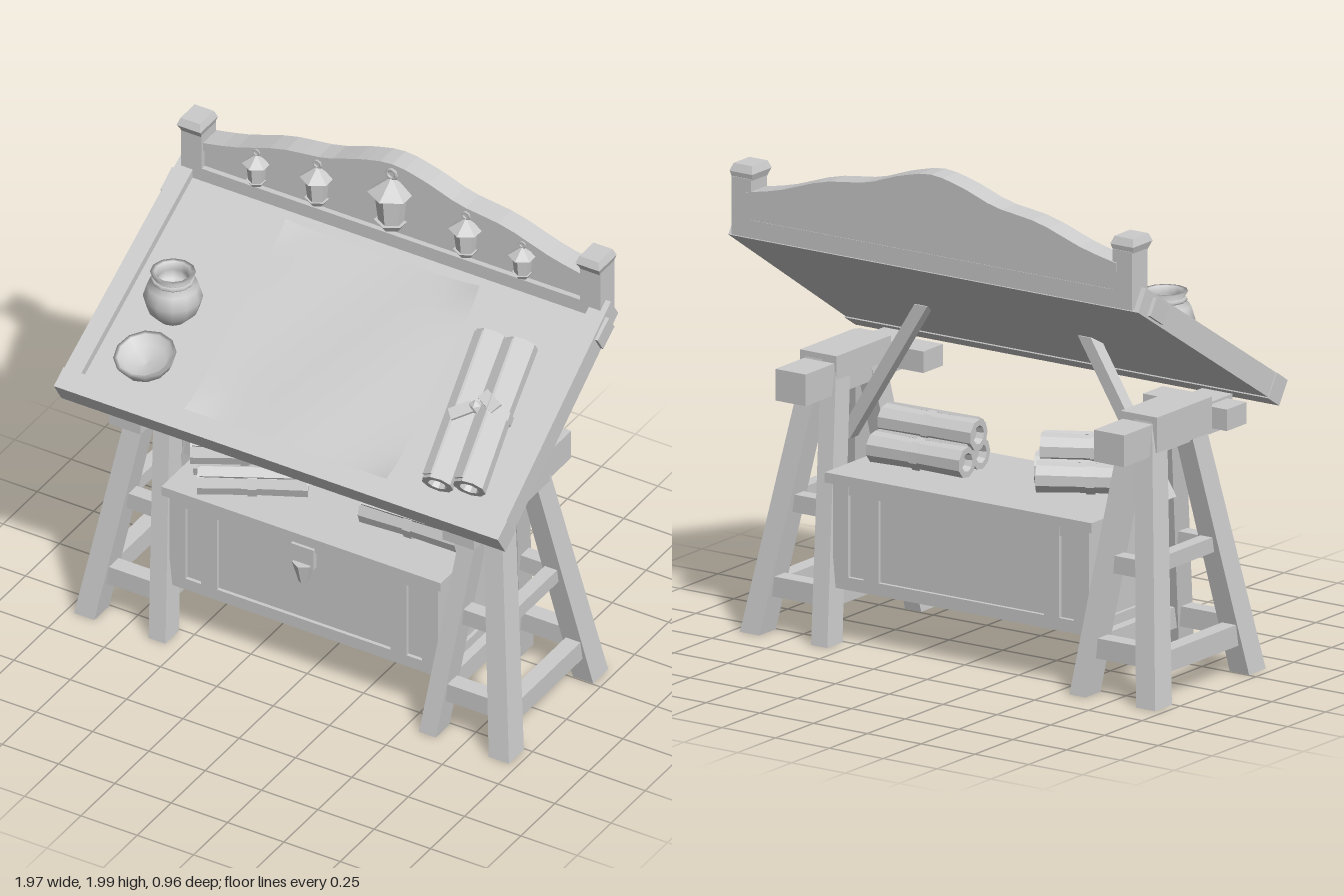
import * as THREE from 'three';

const grey = new THREE.MeshStandardMaterial({ color: 0xcccccc, side: THREE.DoubleSide });
grey.name = 'plain grey';

function add(parent, name, geo, x = 0, y = 0, z = 0) {
  const m = new THREE.Mesh(geo, grey);
  m.name = name;
  m.position.set(x, y, z);
  parent.add(m);
  return m;
}
const flat = (g) => { const n = g.toNonIndexed(); n.computeVertexNormals(); return n; };

// box given by its extents
function block(parent, name, x0, x1, y0, y1, z0, z1) {
  return add(parent, name, new THREE.BoxGeometry(x1 - x0, y1 - y0, z1 - z0),
    (x0 + x1) / 2, (y0 + y1) / 2, (z0 + z1) / 2);
}

// leaning post with level ends, from point a (low) to point b (high)
function post(parent, name, a, b, w, d, taper = 1) {
  const g = new THREE.BoxGeometry(w, 1, d), p = g.attributes.position;
  for (let i = 0; i < p.count; i++) {
    const e = p.getY(i) > 0 ? b : a, s = p.getY(i) > 0 ? taper : 1;
    p.setXYZ(i, e[0] + p.getX(i) * s, e[1], e[2] + p.getZ(i) * s);
  }
  return add(parent, name, flat(g));
}

// rolled paper along local x: eight-sided, hollow ends, loose outer edge, ribbon
function scroll(parent, len, r) {
  const s = new THREE.Group();
  s.name = 'scroll';
  parent.add(s);
  const pts = [[r * 0.5, -len / 2 + 0.03], [r * 0.6, -len / 2], [r, -len / 2], [r * 0.93, 0],
    [r, len / 2], [r * 0.6, len / 2], [r * 0.5, len / 2 - 0.03]].map(([a, b]) => new THREE.Vector2(a, b));
  add(s, 'rolledPaper', flat(new THREE.LatheGeometry(pts, 9).rotateZ(Math.PI / 2)));
  for (const e of [-1, 1])
    add(s, 'rollCore', new THREE.CircleGeometry(r * 0.5, 9).rotateY(Math.PI / 2), e * (len / 2 - 0.03));
  const edge = add(s, 'looseEdge', new THREE.BoxGeometry(len * 0.96, 0.012, r * 0.7), 0, r * 0.85, r * 0.45);
  edge.rotation.x = 0.5;
  add(s, 'ribbon', flat(new THREE.CylinderGeometry(r * 1.04, r * 1.04, 0.035, 9, 1, true).rotateZ(Math.PI / 2)));
  return s;
}

// three scrolls stacked in a pyramid, axis along local x
function scrollPile(parent, name, x, z, turn, len) {
  const g = new THREE.Group();
  g.name = name;
  g.position.set(x, 0.68, z);
  g.rotation.y = turn;
  parent.add(g);
  for (const [dx, y, dz] of [[0.01, 0.06, 0.065], [-0.01, 0.06, -0.065], [-0.02, 0.155, 0]])
    scroll(g, len, 0.062).position.set(dx, y, dz);
}

// small hanging lantern on the crest board
function lantern(parent, x, y, k) {
  const g = new THREE.Group();
  g.name = 'lantern';
  g.position.set(x, y, -0.372);
  g.scale.setScalar(k);
  parent.add(g);
  add(g, 'lanternBody', flat(new THREE.CylinderGeometry(0.045, 0.035, 0.09, 6)));
  add(g, 'lanternRoof', flat(new THREE.ConeGeometry(0.062, 0.045, 6)), 0, 0.065);
  add(g, 'lanternBase', flat(new THREE.CylinderGeometry(0.045, 0.03, 0.02, 6)), 0, -0.053);
  add(g, 'lanternRing', new THREE.TorusGeometry(0.014, 0.005, 5, 8), 0, 0.097);
}

function buildBoard(root) {
  const b = new THREE.Group();
  b.name = 'slopedBoard';
  b.position.set(0, 1.325, -0.02);
  b.rotation.x = 0.564;
  root.add(b);
  block(b, 'boardPanel', -0.93, 0.93, 0, 0.068, -0.52, 0.5);
  block(b, 'frontRail', -0.985, 0.985, -0.005, 0.1, 0.445, 0.53);
  for (const s of [-1, 1]) {
    // side rail, a little wider toward the front
    const rail = post(b, 'sideRail', [s * 0.945, 0, 0], [s * 0.915, 1.02, 0], 0.075, 0.1);
    rail.rotation.x = -Math.PI / 2;
    rail.position.set(0, 0.05, 0.5);
    block(b, 'railBracket', Math.min(s * 0.9, s * 0.97), Math.max(s * 0.9, s * 0.97), 0.01, 0.085, -0.46, -0.36);
  }
  // drawing sheet with curling corners
  const sheet = new THREE.PlaneGeometry(0.88, 0.85, 12, 12).rotateX(-Math.PI / 2), p = sheet.attributes.position;
  for (let i = 0; i < p.count; i++) {
    const x = p.getX(i), z = p.getZ(i), c = Math.abs(x / 0.44) * Math.abs(z / 0.425);
    p.setXYZ(i, x * (1 + 0.05 * z), 0.075 + 0.03 * c ** 6 + 0.004 * Math.sin(9 * x + 5 * z), z);
  }
  sheet.computeVertexNormals();
  add(b, 'paperSheet', sheet, 0, 0, 0.02);
  // pair of tied scrolls
  const pair = new THREE.Group();
  pair.name = 'boardScrolls';
  pair.position.set(0.69, 0.133, 0.085);
  pair.rotation.y = -Math.PI / 2 + 0.13;
  b.add(pair);
  scroll(pair, 0.62, 0.066).position.z = -0.065;
  scroll(pair, 0.64, 0.064).position.z = 0.065;
  add(pair, 'ribbonKnot', flat(new THREE.IcosahedronGeometry(0.03, 0)), 0, 0.055, 0);
  for (const s of [-1, 1])
    add(pair, 'ribbonTail', new THREE.BoxGeometry(0.05, 0.012, 0.09), s * 0.03, 0.065, s * 0.05).rotation.y = s * 0.6;
}

function buildCrest(root) {
  const c = new THREE.Group();
  c.name = 'crest';
  root.add(c);
  const half = [[0.86, 1.785], [0.7, 1.82], [0.5, 1.885], [0.3, 1.915], [0.15, 1.965], [0, 1.995]];
  const pts = [...half, ...half.slice(0, -1).reverse().map(([x, y]) => [-x, y])].map(([x, y]) => new THREE.Vector2(x, y));
  const line = new THREE.SplineCurve(pts).getPoints(28);
  const slab = (pl, d) => new THREE.ExtrudeGeometry(new THREE.Shape(pl), { depth: d, bevelEnabled: false });
  const V = (x, y) => new THREE.Vector2(x, y);
  add(c, 'backBoard', slab([V(-0.88, 1.61), V(0.88, 1.61), ...line], 0.08), 0, 0, -0.468);
  const under = line.map((q) => V(q.x, q.y - 0.035)).reverse();
  add(c, 'crestMoulding', slab([...line, ...under], 0.1), 0, 0.003, -0.476);
  block(c, 'backSill', -0.93, 0.93, 1.61, 1.68, -0.47, -0.365);
  for (const s of [-1, 1]) {
    block(c, 'cornerPost', s * 0.885 - 0.045, s * 0.885 + 0.045, 1.61, 1.84, -0.47, -0.365);
    post(c, 'postFlare', [s * 0.885, 1.825, -0.415], [s * 0.885, 1.86, -0.408], 0.085, 0.1, 1.25);
    post(c, 'postCap', [s * 0.885, 1.86, -0.408], [s * 0.885, 1.89, -0.408], 0.106, 0.13, 0.8);
  }
  for (const [x, y, k] of [[-0.6, 1.75, 0.9], [-0.33, 1.775, 1.1], [0, 1.81, 1.5], [0.33, 1.775, 1.1], [0.58, 1.75, 0.9]])
    lantern(c, x, y, k);
}

function buildTrestle(root, s) {
  const t = new THREE.Group();
  t.name = s > 0 ? 'leftTrestle' : 'rightTrestle';
  root.add(t);
  const bx = (name, x0, x1, ...r) => block(t, name, Math.min(s * x0, s * x1), Math.max(s * x0, s * x1), ...r);
  for (const f of [-1, 1]) {
    post(t, 'outerLeg', [s * 0.92, 0.01, f * 0.31], [s * 0.765, 1.08, f * 0.11], 0.09, 0.11, 0.9);
    post(t, 'innerLeg', [s * 0.6, 0.01, f * 0.31], [s * 0.7, 1.05, f * 0.11], 0.075, 0.1, 0.95);
    bx('lowerStretcher', 0.62, 0.9, 0.155, 0.235, f * 0.275 - 0.035, f * 0.275 + 0.035);
    bx('upperStretcher', 0.65, 0.84, 0.48, 0.55, f * 0.21 - 0.03, f * 0.21 + 0.03);
  }
  bx('lowerSideRail', 0.865, 0.93, 0.125, 0.21, -0.28, 0.28);
  bx('innerSideRail', 0.585, 0.645, 0.15, 0.235, -0.28, 0.28);
  bx('upperSideRail', 0.81, 0.865, 0.5, 0.56, -0.21, 0.21);
  bx('topBeam', 0.67, 0.81, 0.945, 1.07, -0.35, 0.365);
  bx('saddleBlock', 0.66, 0.83, 0.96, 1.1, -0.16, 0.2);
  bx('crossPiece', 0.51, 0.9, 0.975, 1.06, 0.2, 0.33);
  post(t, 'boardStrut', [s * 0.74, 0.73, 0.025], [s * 0.38, 1.31, 0.025], 0.06, 0.055);
}

function buildChest(root) {
  const c = new THREE.Group();
  c.name = 'chest';
  root.add(c);
  block(c, 'chestBody', -0.59, 0.59, 0.235, 0.65, -0.26, 0.26);
  block(c, 'chestLid', -0.62, 0.62, 0.64, 0.68, -0.295, 0.295);
  block(c, 'chestBase', -0.605, 0.605, 0.225, 0.275, -0.275, 0.275);
  for (const f of [-1, 1]) {
    for (const x of [-0.56, -0.42, 0.42, 0.56])
      block(c, 'chestStile', x - 0.035, x + 0.035, 0.26, 0.645, f * 0.265 - 0.01, f * 0.265 + 0.01);
    block(c, 'chestTopRail', -0.59, 0.59, 0.6, 0.645, f * 0.264 - 0.01, f * 0.264 + 0.01);
  }
  block(c, 'latchPlate', -0.05, 0.05, 0.53, 0.62, 0.265, 0.287);
  add(c, 'latchDrop', flat(new THREE.CylinderGeometry(0.045, 0.02, 0.09, 6)), 0, 0.5, 0.275);
  scrollPile(c, 'rightScrollPile', -0.34, 0.1, 0.5, 0.42);
  scrollPile(c, 'leftScrollPile', 0.355, 0.01, 0.04, 0.42);
}

function buildVessels(root) {
  const lathe = (pts) => new THREE.LatheGeometry(pts.map(([r, y]) => new THREE.Vector2(r, y)), 12);
  // round pot with an open neck and a cord
  add(root, 'pot', lathe([[0, 0], [0.06, 0], [0.1, 0.045], [0.115, 0.1], [0.1, 0.15], [0.07, 0.18],
    [0.088, 0.21], [0.07, 0.21], [0.058, 0.18], [0.07, 0.13], [0, 0.12]]), -0.695, 1.315, 0.085);
  add(root, 'potCord', new THREE.TorusGeometry(0.076, 0.01, 5, 12).rotateX(Math.PI / 2), -0.695, 1.492, 0.085);
  // shallow dish
  add(root, 'dish', lathe([[0, 0], [0.05, 0], [0.1, 0.04], [0.122, 0.085], [0.106, 0.085],
    [0.08, 0.05], [0, 0.035]]), -0.685, 1.195, 0.285).rotation.x = 0.28;
}

export function createModel() {
  const root = new THREE.Group();
  root.name = 'draftingTable';
  buildBoard(root);
  buildCrest(root);
  for (const s of [-1, 1]) buildTrestle(root, s);
  buildChest(root);
  buildVessels(root);
  return root;
}
